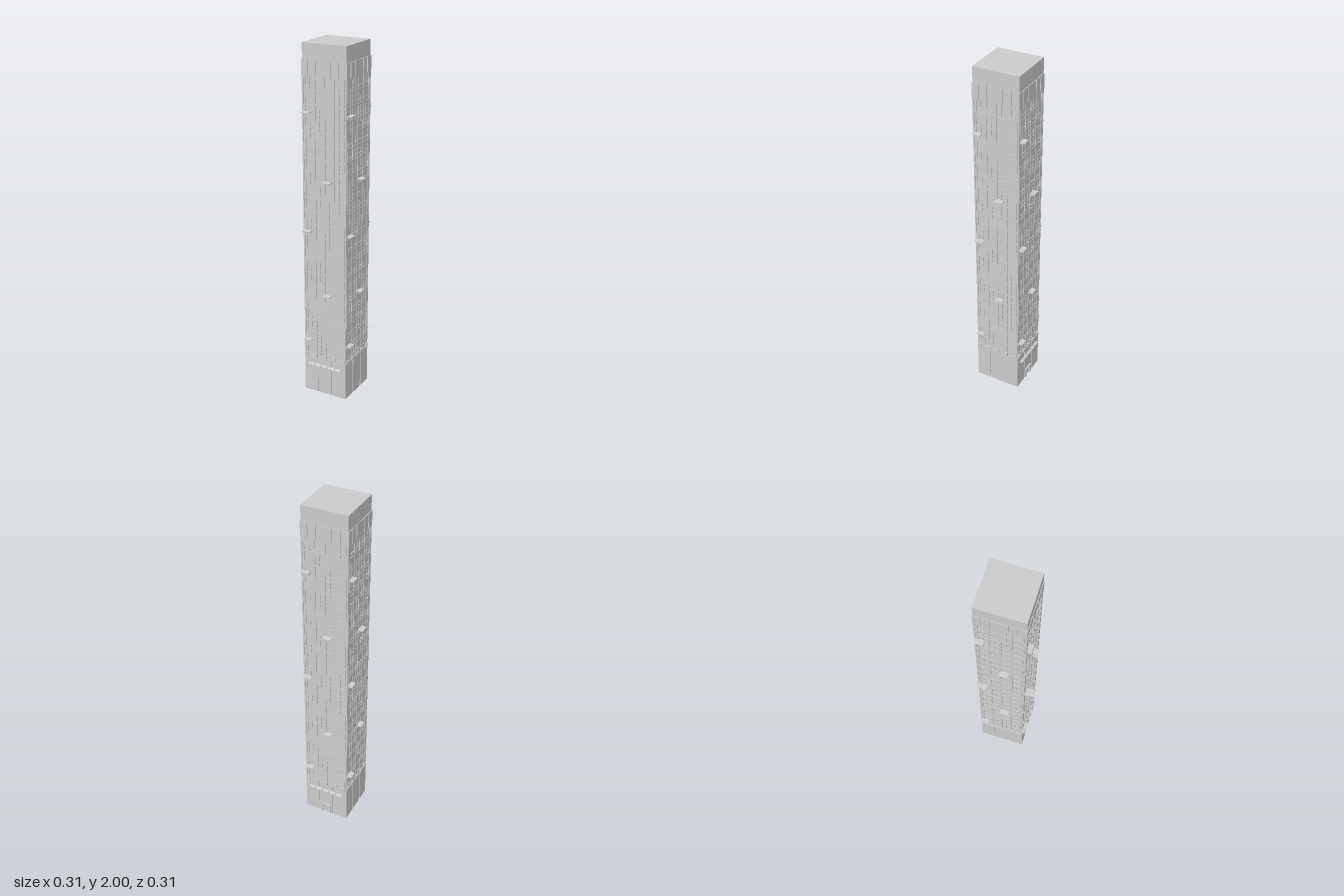
import * as THREE from 'three';

const grey = new THREE.MeshStandardMaterial({ color: 0xcccccc, flatShading: true });

// Box spanning x0..x1, y0..y1, z0..z1
function box(parent, name, x0, x1, y0, y1, z0, z1) {
  const mesh = new THREE.Mesh(new THREE.BoxGeometry(x1 - x0, y1 - y0, z1 - z0), grey);
  mesh.position.set((x0 + x1) / 2, (y0 + y1) / 2, (z0 + z1) / 2);
  mesh.name = name;
  parent.add(mesh);
  return mesh;
}

// Thin sloping awning made from an extruded side profile
function awning(parent, name, x, y, width, zBack, zFront, drop, thick) {
  const profile = new THREE.Shape([
    new THREE.Vector2(-zBack, y), new THREE.Vector2(-zFront, y - drop),
    new THREE.Vector2(-zFront, y - drop - thick), new THREE.Vector2(-zBack, y - thick),
  ]);
  const geometry = new THREE.ExtrudeGeometry(profile, { depth: width, bevelEnabled: false });
  geometry.rotateY(Math.PI / 2);
  geometry.translate(x - width / 2, 0, 0);
  const mesh = new THREE.Mesh(geometry, grey);
  mesh.name = name;
  parent.add(mesh);
}

const CORE = 0.128, FACE = 0.132;
const SHAFT_Y = 0.23, FLOORS = 22, FLOOR_H = 0.0727;
const PIER_X = [-0.115, -0.0575, 0, 0.0575, 0.115];

// Everything on one side, built facing +z
function createSide(hasAwnings, hasDoor) {
  const side = new THREE.Group();

  // Base panels separated by two narrow grooves
  box(side, 'basePanel', -FACE, -0.049, 0, 0.215, CORE, FACE);
  box(side, 'basePanel', 0.049, FACE, 0, 0.215, CORE, FACE);
  if (hasDoor) {
    box(side, 'basePanel', -0.041, -0.022, 0, 0.215, CORE, FACE);
    box(side, 'basePanel', 0.022, 0.041, 0, 0.215, CORE, FACE);
    box(side, 'basePanel', -0.022, 0.022, 0.055, 0.215, CORE, FACE);
    for (const s of [-1, 1]) box(side, 'doorPost', s * 0.024 - 0.004, s * 0.024 + 0.004, 0, 0.055, FACE, 0.139);
    box(side, 'doorLintel', -0.028, 0.028, 0.055, 0.063, FACE, 0.141);
  } else {
    box(side, 'basePanel', -0.041, 0.041, 0, 0.215, CORE, FACE);
  }

  // Row of small awnings above the base
  if (hasAwnings) {
    for (let i = -2; i <= 2; i++) awning(side, 'baseAwning', i * 0.043, 0.181, 0.036, 0.131, 0.146, 0.007, 0.004);
  }

  // Brackets under the piers, and the piers themselves
  for (const x of PIER_X) {
    box(side, 'pierBracket', x - 0.009, x + 0.009, 0.222, 0.241, CORE, 0.139);
    box(side, 'pier', x - 0.005, x + 0.005, SHAFT_Y, 1.83, CORE, 0.1315);
  }

  // Window mullions between the piers
  for (let i = 0; i < 4; i++) {
    const x = (PIER_X[i] + PIER_X[i + 1]) / 2;
    box(side, 'mullion', x - 0.0015, x + 0.0015, SHAFT_Y, 1.83, CORE, 0.1295);
  }

  // Window sills, one per bay and floor
  for (let f = 0; f < FLOORS; f++) {
    const y = SHAFT_Y + f * FLOOR_H + 0.024;
    for (let i = 0; i < 4; i++) {
      const x = (PIER_X[i] + PIER_X[i + 1]) / 2;
      box(side, 'windowSill', x - 0.018, x + 0.018, y, y + 0.004, CORE, 0.131);
    }
  }

  // Canopies alternating between two bays up the shaft
  const canopies = [[-0.1015, 0.334], [0.02, 0.626], [-0.1015, 0.99], [0.02, 1.281], [-0.1015, 1.646]];
  for (const [x, y] of canopies) {
    awning(side, 'canopy', x, y, 0.047, CORE, 0.157, 0.002, 0.005);
    box(side, 'canopyBracket', x - 0.0235, x - 0.0185, y - 0.018, y - 0.004, CORE, 0.136);
  }

  // Crown slabs with slots between them, and thin ribs inside the slots
  for (const [a, b] of [[-0.133, -0.094], [-0.086, -0.048], [-0.04, 0.04], [0.048, 0.086], [0.094, 0.133]]) {
    box(side, 'crownSlab', a, b, 1.83, 1.915, CORE, 0.133);
  }
  return side;
}

export function createModel() {
  const model = new THREE.Group();
  model.name = 'tower';

  // Solid core, plain top block and base cornice
  box(model, 'core', -CORE, CORE, 0, 1.915, -CORE, CORE);
  box(model, 'topBlock', -0.1295, 0.1295, 1.91, 2, -0.1295, 0.1295);
  box(model, 'baseCornice', -0.133, 0.133, 0.212, 0.224, -0.133, 0.133);

  // Floor bands wrapping the shaft
  for (let f = 0; f <= FLOORS; f++) {
    const y = SHAFT_Y + f * FLOOR_H;
    box(model, 'floorBand', -0.1305, 0.1305, y - 0.005, y + 0.005, -0.1305, 0.1305);
  }

  // Corner posts of the shaft
  for (const x of [-1, 1]) for (const z of [-1, 1]) {
    const post = box(model, 'cornerPost', -0.004, 0.004, SHAFT_Y, 1.83, -0.004, 0.004);
    post.position.x = x * 0.1275;
    post.position.z = z * 0.1275;
  }

  // Four sides, turned about the axis; front and back carry the base awnings
  ['front', 'left', 'back', 'right'].forEach((name, i) => {
    const side = createSide(i % 2 === 0, i === 2);
    side.name = name + 'Side';
    side.rotation.y = i * Math.PI / 2;
    model.add(side);
  });
  return model;
}
